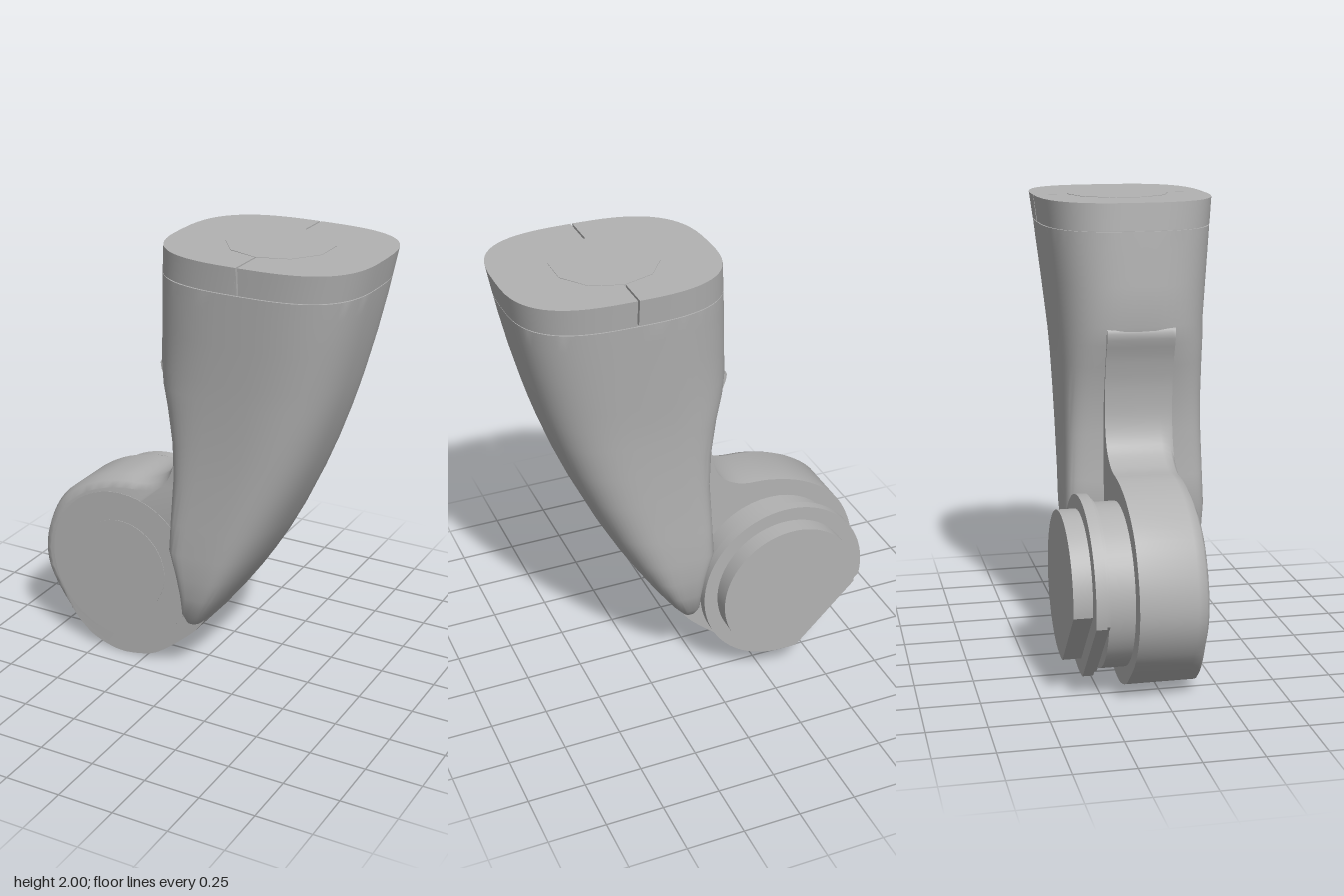
import * as THREE from 'three';
import { toCreasedNormals } from 'three/addons/utils/BufferGeometryUtils.js';

// Skin a list of equal-length rings and close both ends.
function loft(rings, flatten) {
  const n = rings[0].length;
  const pos = rings.flat().flatMap((p) => [p.x, p.y, p.z]);
  const idx = [];
  for (let i = 0; i < rings.length - 1; i++) {
    for (let j = 0; j < n; j++) {
      const k = (j + 1) % n;
      const a = i * n + j, b = i * n + k, c = a + n, d = b + n;
      idx.push(a, c, b, b, c, d);
    }
  }
  const cap = (ring, base, flip) => {
    for (const [a, b, c] of THREE.ShapeUtils.triangulateShape(ring.map(flatten), [])) {
      idx.push(base + a, base + (flip ? c : b), base + (flip ? b : c));
    }
  };
  cap(rings[0], 0, false);
  cap(rings[rings.length - 1], (rings.length - 1) * n, true);
  const geo = new THREE.BufferGeometry();
  geo.setAttribute('position', new THREE.Float32BufferAttribute(pos, 3));
  geo.setIndex(idx);
  return toCreasedNormals(geo, 0.7);
}

// Rounded arm section: height, left and right x, back and front depth, squareness of the -x side.
function section([y, x0, x1, back, front, square]) {
  const cx = (x0 + x1) / 2, h = (x1 - x0) / 2, ring = [];
  for (let j = 0; j < 64; j++) {
    const t = (j / 64) * Math.PI * 2, c = Math.cos(t), s = Math.sin(t);
    const e = 2 / (c < 0 ? square : 3);
    const px = Math.sign(c) * Math.abs(c) ** e;
    const pz = Math.sign(s) * Math.abs(s) ** e;
    ring.push(new THREE.Vector3(cx + h * px, y, pz * (s > 0 ? front : back)));
  }
  return ring;
}

export function createModel() {
  const group = new THREE.Group();
  const grey = new THREE.MeshStandardMaterial({ color: 0xb2b2b2 });
  grey.name = 'grey';
  const add = (name, geo) => {
    const mesh = new THREE.Mesh(geo, grey);
    mesh.name = name;
    group.add(mesh);
    return mesh;
  };
  const flatXZ = (p) => new THREE.Vector2(p.x, p.z);
  const flatXY = (p) => new THREE.Vector2(p.x, p.y);

  // Curved, tapering arm, ending in a small inset step that carries the lid
  const rows = [
    [0.26, 0.0, 0.052, 0.15, 0.18, 3],
    [0.29, -0.005, 0.08, 0.2, 0.235, 3.5],
    [0.35, -0.005, 0.126, 0.25, 0.28, 5],
    [0.45, -0.005, 0.198, 0.285, 0.305, 6],
    [0.55, -0.02, 0.264, 0.3, 0.318, 7],
    [0.66, -0.055, 0.332, 0.305, 0.32, 7],
    [0.8, -0.05, 0.408, 0.3, 0.317, 7],
    [1.0, -0.045, 0.502, 0.298, 0.315, 6],
    [1.15, -0.06, 0.564, 0.3, 0.318, 5],
    [1.3, -0.095, 0.618, 0.305, 0.325, 4],
    [1.4, -0.13, 0.65, 0.312, 0.332, 3.3],
    [1.48, -0.15, 0.673, 0.32, 0.338, 2.8],
    [1.65, -0.143, 0.717, 0.336, 0.354, 2.8],
    [1.8, -0.137, 0.75, 0.352, 0.368, 2.8],
    [1.879, -0.133, 0.765, 0.36, 0.375, 2.8],
    [1.879, -0.125, 0.757, 0.352, 0.367, 2.8],
    [1.884, -0.125, 0.757, 0.352, 0.367, 2.8],
  ];
  add('arm', loft(rows.map(section), flatXZ));

  // Top lid in two halves with a narrow gap between them
  const lid = [
    [1.883, -0.133, 0.766, 0.361, 0.376, 2.8],
    [1.998, -0.125, 0.787, 0.375, 0.387, 2.8],
  ].map(section);
  for (const side of [-1, 1]) {
    const edge = 0.33 + side * 0.004;
    const half = lid.map((ring) => ring.map((p) => new THREE.Vector3(
      side < 0 ? Math.min(p.x, edge) : Math.max(p.x, edge), p.y, p.z)));
    add(side < 0 ? 'lidRight' : 'lidLeft', loft(half, flatXZ));
  }
  const core = add('lidCore', new THREE.CylinderGeometry(0.226, 0.226, 0.12, 10));
  core.position.set(0.33, 1.94, 0);

  // Round hinge plate with a web running up into the arm
  const outline = [
    [-0.53, 0.05], [-0.46, 0.02], [-0.375, 0.003], [-0.28, 0.013], [-0.2, 0.037], [-0.05, 0.15],
    [0.045, 0.25], [0.13, 0.45], [0.15, 0.9], [0.13, 1.35], [-0.06, 1.47], [-0.145, 1.465],
    [-0.11, 1.33], [-0.085, 1.2], [-0.088, 1.04], [-0.13, 0.945], [-0.22, 0.89],
    [-0.37, 0.873], [-0.53, 0.825], [-0.68, 0.72], [-0.765, 0.57], [-0.79, 0.43],
    [-0.77, 0.32], [-0.7, 0.2], [-0.55, 0.065],
  ].map(([x, y]) => new THREE.Vector3(x, y, 0));
  const curve = new THREE.CatmullRomCurve3(outline, true, 'centripetal');
  const plateRing = (z, inset) => {
    const ring = [];
    for (let i = 0; i < 110; i++) {
      const p = curve.getPoint(i / 110), t = curve.getTangent(i / 110);
      // The front edge is rounded only around the outer and upper side
      const w = THREE.MathUtils.smoothstep(p.y, 0.08, 0.25)
        * (1 - THREE.MathUtils.smoothstep(p.y, 0.95, 1.2))
        * THREE.MathUtils.smoothstep(-p.x, 0.06, 0.2);
      ring.push(new THREE.Vector3(p.x - t.y * inset * w, p.y + t.x * inset * w, z));
    }
    return ring;
  };
  add('hingePlate', loft([
    plateRing(0.153, 0.045), plateRing(0.138, 0.018), plateRing(0.1, 0), plateRing(-0.142, 0),
  ], flatXY));

  // Disc with a flat cut of the given half angle on its lower -x side
  const cutDisc = (name, x, y, r, z0, z1, cut) => {
    const a = THREE.MathUtils.degToRad(225);
    const shape = new THREE.Shape();
    shape.absarc(0, 0, r, a + cut, a - cut + Math.PI * 2, false);
    const geo = new THREE.ExtrudeGeometry(shape, { depth: z1 - z0, bevelEnabled: false, curveSegments: 40 });
    add(name, toCreasedNormals(geo, 0.5)).position.set(x, y, z0);
  };
  const roundDisc = (name, x, y, r, z0, z1) => {
    const geo = new THREE.CylinderGeometry(r, r, z1 - z0, 48).rotateX(Math.PI / 2);
    add(name, geo).position.set(x, y, (z0 + z1) / 2);
  };
  // Shallow raised discs on the front
  roundDisc('frontDisc', -0.365, 0.44, 0.36, 0.148, 0.155);
  roundDisc('frontHub', -0.365, 0.44, 0.225, 0.15, 0.157);
  // Stepped coupling on the back
  roundDisc('couplingNeck', -0.365, 0.435, 0.347, -0.25, -0.13);
  cutDisc('couplingLip', -0.365, 0.435, 0.365, -0.266, -0.249, 0.62);
  cutDisc('couplingFlange', -0.365, 0.435, 0.384, -0.31, -0.265, 0.62);
  cutDisc('couplingCap', -0.36, 0.44, 0.317, -0.39, -0.309, 0.66);

  return group;
}
